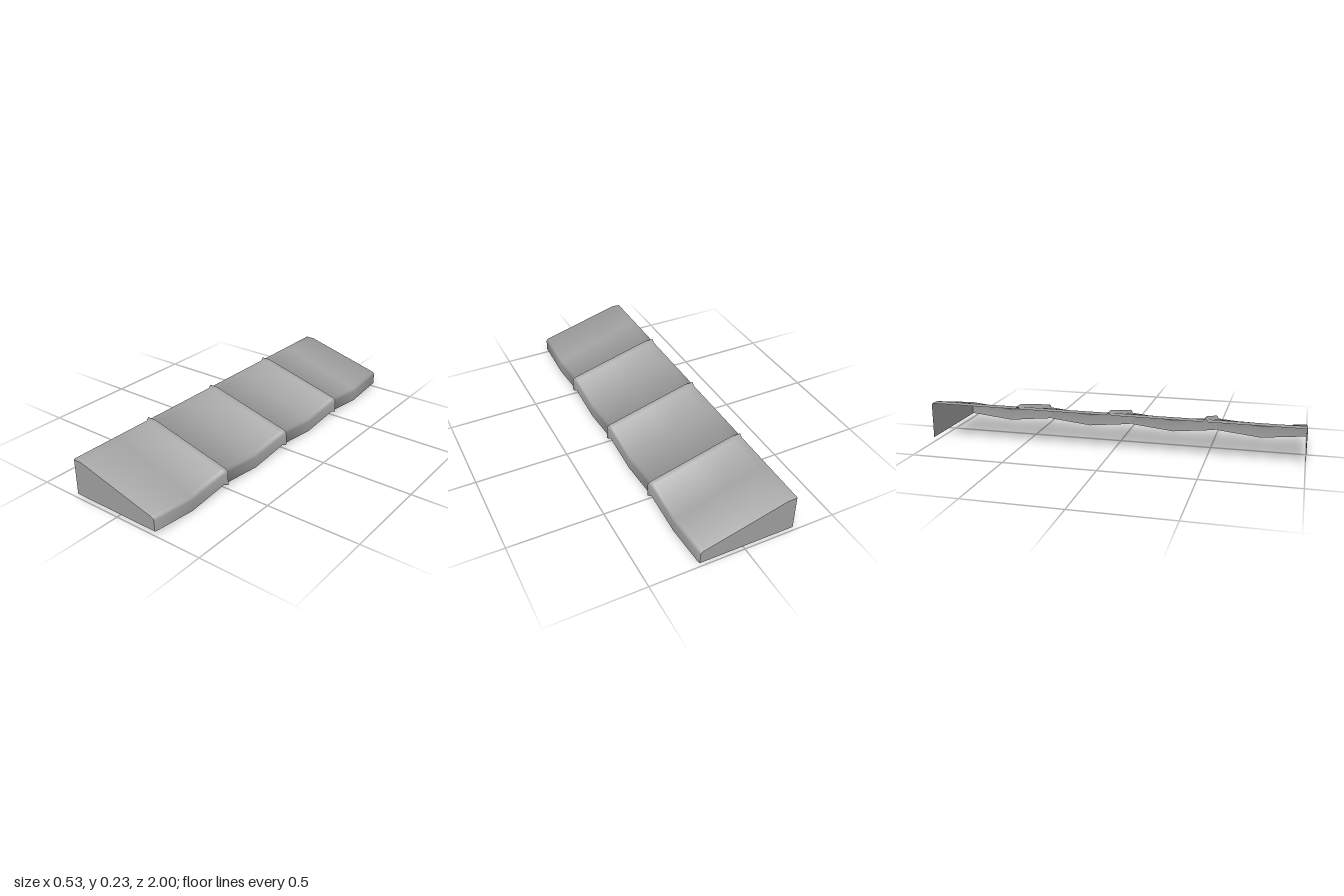
import * as THREE from 'three';

// Side profile (x, y) from the wall edge down to the valance hem,
// with outward direction (dx, dy) and how strongly the cloth sags there
const HEM = 0.025;
const PROFILE = [
  [-0.264, 0.219, 0, 1, 0],
  [-0.215, 0.219, 0.1, 1, 0.02],
  [0.0, 0.161, 0.13, 1.02, 0.5],
  [0.222, 0.102, 0.2, 1, 0.95],
  [0.234, 0.098, 0.7, 0.95, 1],
  [0.242, 0.092, 1, 0.7, 1],
  [0.245, 0.083, 1.05, 0.3, 1],
  [0.246, HEM, 1, 0, 1],
];
const SAG = 0.025;
const BAY = 0.5;
const FOLD = 0.014; // half width of a ridge
const RIDGE = 0.016; // height of a ridge
const HEMMED = -0.004; // rounding at the two ends

const material = new THREE.MeshStandardMaterial({ color: 0xa3a3a3, side: THREE.DoubleSide });

// Smooth normals where every face counts equally, so narrow folds soften the wide bays
function smoothEvenly(geometry) {
  const flat = geometry.toNonIndexed();
  flat.computeVertexNormals();
  const faceNormals = flat.attributes.normal;
  const index = geometry.index;
  const sums = Array.from({ length: geometry.attributes.position.count }, () => new THREE.Vector3());
  const normal = new THREE.Vector3();
  for (let i = 0; i < index.count; i++) {
    sums[index.getX(i)].add(normal.fromBufferAttribute(faceNormals, i));
  }
  const values = sums.flatMap((v) => v.normalize().toArray());
  geometry.setAttribute('normal', new THREE.Float32BufferAttribute(values, 3));
}

// Skin the profile through rows of { z, out, sag }
function clothGeometry(rows) {
  const positions = [];
  const index = [];
  const n = PROFILE.length;
  for (const { z, out, sag } of rows) {
    for (const [x, y, dx, dy, s] of PROFILE) {
      positions.push(x + dx * out, y + dy * out - s * sag, z);
    }
  }
  for (let r = 0; r < rows.length - 1; r++) {
    for (let i = 0; i < n - 1; i++) {
      const a = r * n + i;
      const b = a + n;
      index.push(a, b, a + 1, b, b + 1, a + 1);
    }
  }
  const geometry = new THREE.BufferGeometry();
  geometry.setAttribute('position', new THREE.Float32BufferAttribute(positions, 3));
  geometry.setIndex(index);
  smoothEvenly(geometry);
  return geometry;
}

// One continuous cloth: four sagging bays parted by three raised ridges
function canopy() {
  const rows = [{ z: -1, out: HEMMED, sag: 0 }, { z: -0.995, out: 0, sag: 0 }];
  for (let b = 0; b < 4; b++) {
    const z = -1 + b * BAY;
    if (b > 0) {
      rows.push(
        { z: z - FOLD, out: 0, sag: 0 },
        { z, out: RIDGE, sag: 0 },
        { z: z + FOLD, out: 0, sag: 0 },
      );
    }
    rows.push({ z: z + BAY / 2, out: 0, sag: SAG });
  }
  rows.push({ z: 0.995, out: 0, sag: 0 }, { z: 1, out: HEMMED, sag: 0 });
  const mesh = new THREE.Mesh(clothGeometry(rows), material);
  mesh.name = 'canopy';
  return mesh;
}

// Flat cloth side closing one end, following the profile
function endPanel(name, z) {
  const shape = new THREE.Shape();
  shape.moveTo(-0.264, HEM);
  for (const [x, y, dx, dy] of [...PROFILE].reverse()) {
    shape.lineTo(x + dx * HEMMED, y + dy * HEMMED);
  }
  shape.closePath();
  const geometry = new THREE.ShapeGeometry(shape);
  if (z < 0) {
    // Turn the face outward on the back end
    geometry.index.array.reverse();
    geometry.computeVertexNormals();
  }
  const mesh = new THREE.Mesh(geometry, material);
  mesh.name = name;
  mesh.position.z = z;
  return mesh;
}

export function createModel() {
  const group = new THREE.Group();
  group.name = 'awning';
  group.add(canopy(), endPanel('frontEndPanel', 1), endPanel('backEndPanel', -1));
  return group;
}
